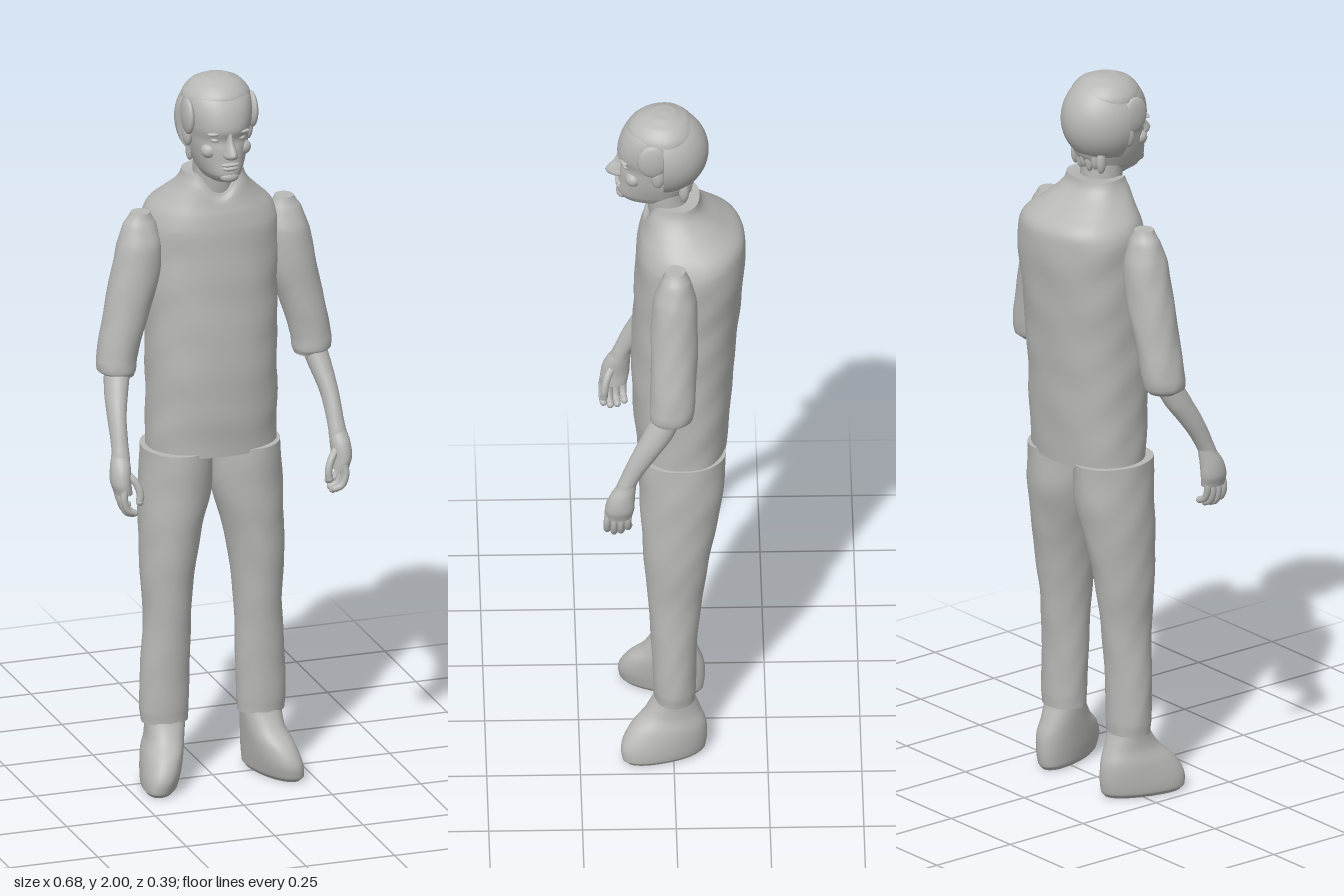
import * as THREE from 'three';

const grey = new THREE.MeshStandardMaterial({ color: 0xb8b8b6 });
grey.name = 'plain grey';

function add(group, name, geometry) {
  const mesh = new THREE.Mesh(geometry, grey);
  mesh.name = name;
  group.add(mesh);
  return mesh;
}

// Closed body through rows [y, centreX, centreZ, halfWidth, frontDepth, backDepth], listed upwards.
function loft(rows, { steps = 5, sides = 40, power = 2, warp = null } = {}) {
  const rings = [];
  for (let i = 0; i < rows.length - 1; i++) {
    const [p, a, b, c] = [i - 1, i, i + 1, i + 2].map(k => rows[Math.min(Math.max(k, 0), rows.length - 1)]);
    const last = i === rows.length - 2 ? steps : steps - 1;
    for (let s = 0; s <= last; s++) {
      const t = s / steps;
      rings.push(a.map((v, k) => k === 0 ? v + (b[0] - v) * t
        : 0.5 * (2 * v + (b[k] - p[k]) * t + (2 * p[k] - 5 * v + 4 * b[k] - c[k]) * t * t
          + (3 * v - p[k] - 3 * b[k] + c[k]) * t ** 3)));
    }
  }
  const pos = [], idx = [], round = v => Math.sign(v) * Math.abs(v) ** (2 / power);
  for (const [y, cx, cz, w, f, bk] of rings) {
    for (let j = 0; j < sides; j++) {
      const a = j / sides * Math.PI * 2, sn = Math.sin(a);
      const v = new THREE.Vector3(cx + w * round(Math.cos(a)), y, cz + (sn > 0 ? f : bk) * round(sn));
      if (warp) warp(v, a, cx, cz);
      pos.push(v.x, v.y, v.z);
    }
  }
  for (let i = 0; i < rings.length - 1; i++) {
    for (let j = 0; j < sides; j++) {
      const a = i * sides + j, b = i * sides + (j + 1) % sides;
      idx.push(a, a + sides, b, b, a + sides, b + sides);
    }
  }
  // End caps with their own vertices, so the rims stay sharp
  for (const top of [false, true]) {
    const from = top ? (rings.length - 1) * sides : 0, base = pos.length / 3, mid = [0, 0, 0];
    for (let j = 0; j < sides; j++) {
      for (let k = 0; k < 3; k++) {
        const v = pos[(from + j) * 3 + k];
        pos.push(v);
        mid[k] += v / sides;
      }
    }
    pos.push(...mid);
    for (let j = 0; j < sides; j++) {
      const a = base + j, b = base + (j + 1) % sides;
      idx.push(base + sides, top ? b : a, top ? a : b);
    }
  }
  const g = new THREE.BufferGeometry();
  g.setAttribute('position', new THREE.Float32BufferAttribute(pos, 3));
  g.setIndex(idx);
  g.computeVertexNormals();
  return g;
}

const ball = (x, y, z, rx, ry, rz) =>
  new THREE.SphereGeometry(1, 24, 16).scale(rx, ry, rz).translate(x, y, z);

// Soft cloth folds
const folds = amount => (v, a, cx, cz) => {
  const k = 1 + amount * Math.sin(v.y * 38 + 2 * Math.sin(a * 2)) * Math.sin(a * 3 + v.y * 9);
  v.x = cx + (v.x - cx) * k;
  v.z = cz + (v.z - cz) * k;
};

function makeTorso(group) {
  const cloth = folds(0.012);
  add(group, 'shirt', loft([
    [0.935, 0.005, -0.03, 0.178, 0.125, 0.115], [1.05, 0.005, -0.03, 0.178, 0.135, 0.125],
    [1.2, 0.005, -0.03, 0.177, 0.14, 0.135], [1.35, 0.005, -0.035, 0.18, 0.14, 0.143],
    [1.48, 0.008, -0.04, 0.185, 0.14, 0.15], [1.57, 0.008, -0.045, 0.185, 0.14, 0.15],
    [1.615, 0.006, -0.045, 0.168, 0.134, 0.138], [1.66, 0.002, -0.03, 0.125, 0.112, 0.095],
    [1.695, 0, -0.01, 0.095, 0.085, 0.075], [1.725, 0, -0.005, 0.083, 0.068, 0.068],
  ], {
    sides: 64, power: 2.3,
    warp: (v, a, cx, cz) => {
      cloth(v, a, cx, cz);
      // Open neckline at the front
      const t = THREE.MathUtils.clamp((v.y - 1.62) / 0.1, 0, 1);
      v.y -= 0.055 * t * Math.max(0, Math.sin(a)) ** 8;
    },
  }));
  add(group, 'neck', loft([
    [1.6, 0, 0, 0.06, 0.05, 0.05], [1.68, 0, 0.01, 0.058, 0.053, 0.055], [1.8, 0, 0.02, 0.06, 0.06, 0.06],
  ]));
}

function makeHead(group) {
  add(group, 'face', loft([
    [1.718, 0, 0.03, 0.03, 0.07, 0.03], [1.73, 0, 0.03, 0.046, 0.1, 0.045],
    [1.75, 0, 0.03, 0.058, 0.117, 0.065], [1.785, 0, 0.03, 0.07, 0.114, 0.09],
    [1.82, 0, 0.03, 0.077, 0.112, 0.1], [1.845, 0, 0.03, 0.081, 0.108, 0.108],
    [1.875, 0, 0.03, 0.087, 0.117, 0.112], [1.915, 0, 0.03, 0.091, 0.11, 0.11],
    [1.95, 0, 0.03, 0.086, 0.093, 0.095], [1.98, 0, 0.03, 0.062, 0.064, 0.065],
    [1.995, 0, 0.03, 0.025, 0.025, 0.025],
  ], { sides: 48, power: 2.15 }));
  add(group, 'nose', loft([
    [1.797, 0, 0.135, 0.012, 0.02, 0.02], [1.805, 0, 0.135, 0.02, 0.038, 0.02],
    [1.818, 0, 0.135, 0.017, 0.043, 0.02], [1.845, 0, 0.13, 0.01, 0.026, 0.02],
    [1.875, 0, 0.13, 0.009, 0.015, 0.02],
  ], { sides: 20 }));
  add(group, 'upperLip', ball(0, 1.781, 0.141, 0.026, 0.006, 0.012));
  add(group, 'lowerLip', ball(0, 1.77, 0.141, 0.022, 0.007, 0.011));
  add(group, 'chin', ball(0, 1.745, 0.133, 0.026, 0.016, 0.017));
  for (const s of [-1, 1]) {
    add(group, 'eye', ball(s * 0.034, 1.849, 0.122, 0.015, 0.007, 0.012));
    add(group, 'brow', ball(s * 0.036, 1.868, 0.127, 0.024, 0.006, 0.013).rotateZ(0));
    add(group, 'cheek', ball(s * 0.045, 1.815, 0.105, 0.025, 0.022, 0.022));
    add(group, 'ear', ball(s * 0.085, 1.845, 0.04, 0.013, 0.034, 0.018));
    add(group, 'sideburn', ball(s * 0.09, 1.9, 0.055, 0.014, 0.05, 0.04));
  }
  // Half dome of hair at the back, closed by a flat front
  const dome = new THREE.SphereGeometry(1, 40, 28, Math.PI, Math.PI);
  dome.rotateY(0).scale(0.11, 0.122, 0.122);
  const p = dome.attributes.position;
  let middle = 0;
  for (let i = 0; i < p.count; i++) middle += p.getZ(i);
  if (middle > 0) dome.rotateY(Math.PI);
  add(group, 'backHair', dome.translate(0, 1.878, 0.025));
  const front = new THREE.CircleGeometry(1, 48).scale(0.11, 0.122, 1);
  add(group, 'hairEdge', front.translate(0, 1.878, 0.025));
  // Short hair over the brow
  add(group, 'frontHair', loft([
    [1.94, 0, 0.02, 0.094, 0.1, 0.08], [1.96, 0, 0.02, 0.087, 0.098, 0.08],
    [1.983, 0, 0.02, 0.066, 0.076, 0.06], [1.997, 0, 0.02, 0.035, 0.042, 0.03],
    [2, 0, 0.02, 0.008, 0.01, 0.01],
  ]));
  // Ragged locks at the nape
  for (let i = -3; i <= 3; i++) {
    add(group, 'napeLock', ball(i * 0.018, 1.785 - 0.008 * (i & 1), -0.045 + Math.abs(i) * 0.005, 0.012, 0.035, 0.014));
  }
}

function makeArm(group, s) {
  const rows = list => list.map(r => [r[0], r[1] * s, ...r.slice(2)]);
  add(group, 'sleeve', loft(rows([
    [1.175, 0.268, 0.012, 0.04, 0.042, 0.042], [1.19, 0.275, 0.01, 0.052, 0.055, 0.058],
    [1.23, 0.272, 0.007, 0.055, 0.058, 0.062], [1.32, 0.251, 0.002, 0.06, 0.061, 0.062],
    [1.43, 0.223, 0, 0.067, 0.062, 0.064], [1.53, 0.208, 0, 0.062, 0.056, 0.06],
    [1.59, 0.205, -0.003, 0.045, 0.038, 0.042], [1.622, 0.203, -0.003, 0.026, 0.026, 0.028],
  ]), { warp: folds(0.02) }));
  add(group, 'forearm', loft(rows([
    [0.975, 0.306, 0.135, 0.024, 0.024, 0.026], [1.02, 0.304, 0.115, 0.023, 0.028, 0.026],
    [1.08, 0.3, 0.082, 0.025, 0.036, 0.033], [1.14, 0.289, 0.045, 0.031, 0.042, 0.04],
    [1.22, 0.272, 0.01, 0.036, 0.04, 0.04],
  ]), { sides: 28 }));
  add(group, 'palm', loft(rows([
    [0.89, 0.306, 0.15, 0.024, 0.034, 0.036], [0.92, 0.312, 0.148, 0.027, 0.037, 0.04],
    [0.96, 0.31, 0.14, 0.027, 0.034, 0.034], [1.0, 0.306, 0.126, 0.022, 0.024, 0.024],
  ]), { sides: 28 }));
  // Four curled fingers and the thumb
  const finger = (name, points, r) => {
    const curve = new THREE.CatmullRomCurve3(points.map(q => new THREE.Vector3(q[0] * s, q[1], q[2])));
    add(group, name, new THREE.TubeGeometry(curve, 14, r, 10));
    const e = curve.getPoint(1);
    add(group, name + 'Tip', ball(e.x, e.y, e.z, r, r, r));
  };
  for (let i = 0; i < 4; i++) {
    const z = 0.122 + i * 0.0185, drop = [0.014, 0.003, 0, 0.008][i];
    finger('finger', [[0.31, 0.905, z], [0.313, 0.87 + drop, z + 0.003],
      [0.302, 0.84 + drop, z + 0.003], [0.283, 0.831 + drop, z]], 0.0095);
  }
  finger('thumb', [[0.303, 0.95, 0.15], [0.277, 0.922, 0.168], [0.266, 0.89, 0.175], [0.268, 0.868, 0.176]], 0.0105);
}

function makeLeg(group, s) {
  const rows = list => list.map(r => [r[0], r[1] * s, ...r.slice(2)]);
  add(group, 'trouserLeg', loft(rows([
    [0.175, 0.136, -0.003, 0.064, 0.055, 0.055], [0.21, 0.137, -0.003, 0.067, 0.057, 0.058],
    [0.33, 0.134, -0.002, 0.067, 0.06, 0.06], [0.48, 0.128, -0.003, 0.064, 0.07, 0.073],
    [0.6, 0.126, -0.008, 0.073, 0.085, 0.085], [0.72, 0.115, -0.015, 0.084, 0.1, 0.1],
    [0.83, 0.1, -0.02, 0.097, 0.11, 0.115], [0.945, 0.096, -0.022, 0.094, 0.115, 0.118],
  ]), { warp: folds(0.015) }));
  // Shoe with the toe turned outwards
  add(group, 'shoe', loft(rows([
    [0, 0.158, 0.025, 0.042, 0.1, 0.1], [0.012, 0.158, 0.025, 0.052, 0.112, 0.11],
    [0.05, 0.155, 0.025, 0.056, 0.115, 0.115], [0.095, 0.149, 0.013, 0.056, 0.105, 0.1],
    [0.135, 0.14, 0.003, 0.053, 0.075, 0.075], [0.19, 0.135, 0, 0.055, 0.048, 0.053],
  ]), {
    power: 2.2,
    warp: v => { v.x += s * 0.28 * (v.z - 0.015) * THREE.MathUtils.clamp(1 - v.y / 0.19, 0, 1); },
  }));
}

export function createModel() {
  const model = new THREE.Group();
  model.name = 'standingMan';
  const part = name => {
    const g = new THREE.Group();
    g.name = name;
    model.add(g);
    return g;
  };
  makeTorso(part('torso'));
  makeHead(part('head'));
  for (const [side, s] of [['left', 1], ['right', -1]]) {
    makeArm(part(side + 'Arm'), s);
    makeLeg(part(side + 'Leg'), s);
  }
  return model;
}
